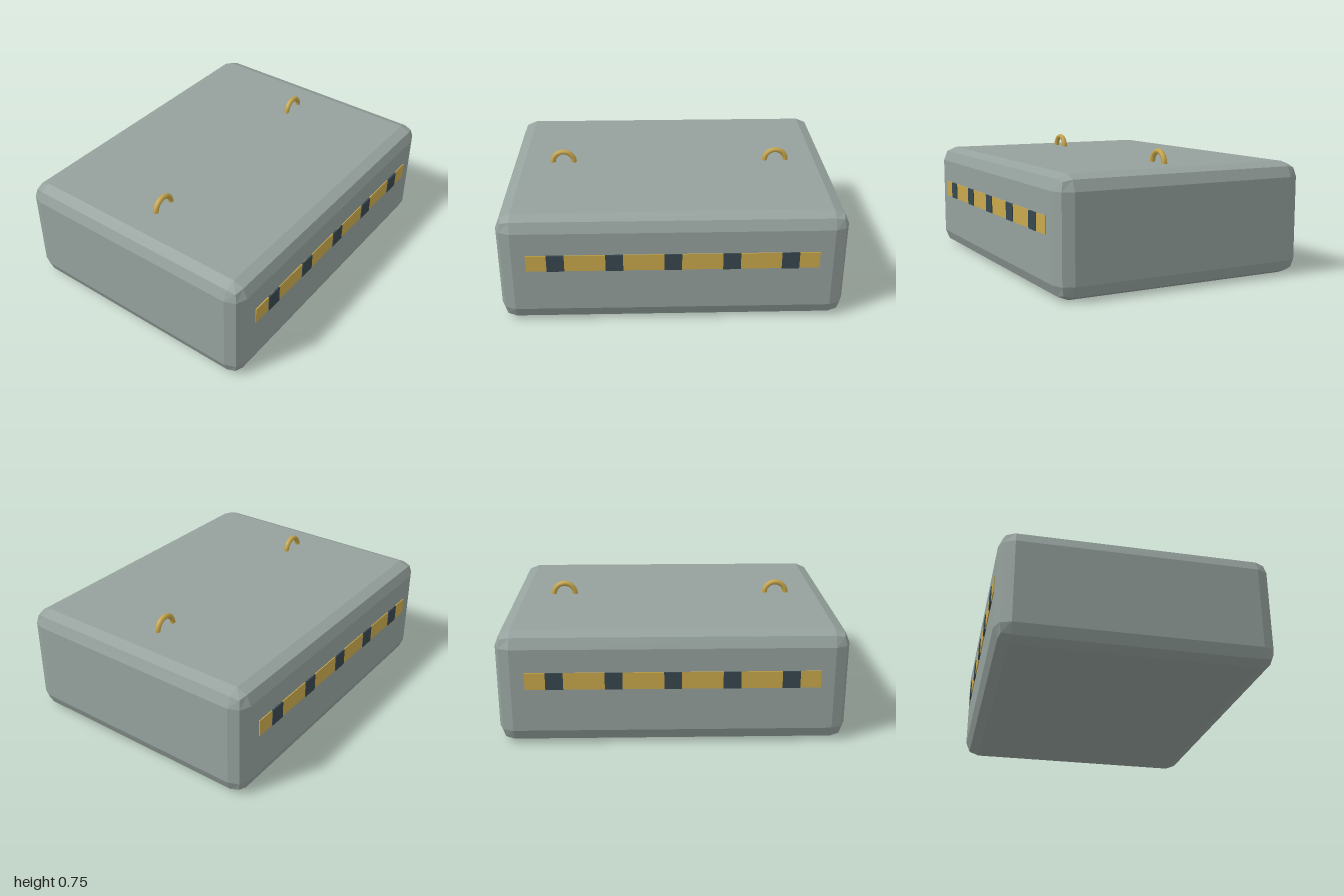
import * as THREE from 'three';
import { RoundedBoxGeometry } from 'three/addons/geometries/RoundedBoxGeometry.js';

export function createModel() {
  const model = new THREE.Group();
  model.name = 'bandedCase';

  const mat = (name, color, flatShading = false) => {
    const m = new THREE.MeshStandardMaterial({ color, flatShading });
    m.name = name;
    return m;
  };
  const shellGrey = mat('shellGrey', 0x95a19d, true);
  const gold = mat('gold', 0xc9a84c);
  const darkSlate = mat('darkSlate', 0x37474f);

  const add = (name, geometry, material, x, y, z) => {
    const mesh = new THREE.Mesh(geometry, material);
    mesh.name = name;
    mesh.position.set(x, y, z);
    model.add(mesh);
    return mesh;
  };

  // Main body with two-step bevelled edges
  const width = 2, height = 0.667, depth = 1.56;
  add('body', new RoundedBoxGeometry(width, height, depth, 1, 0.0875), shellGrey, 0, height / 2, 0);

  // Striped band on the front and back
  const bandY = 0.393, bandHeight = 0.1;
  const band = new THREE.BoxGeometry(1.667, bandHeight, 0.009);
  const stripe = new THREE.BoxGeometry(0.1, bandHeight + 0.001, 0.009);
  for (const side of [1, -1]) {
    const label = side > 0 ? 'front' : 'back';
    add(label + 'Band', band, gold, 0, bandY, side * (depth / 2 + 0.001));
    for (let i = -2; i <= 2; i++) {
      add(label + 'Stripe', stripe, darkSlate, i / 3, bandY, side * (depth / 2 + 0.005));
    }
  }

  // Lifting loops on the top
  const loop = new THREE.TorusGeometry(0.0667, 0.0167, 6, 12, Math.PI);
  for (const side of [1, -1]) {
    add(side > 0 ? 'leftLoop' : 'rightLoop', loop, gold, side * 0.667, height, 0);
  }

  return model;
}
